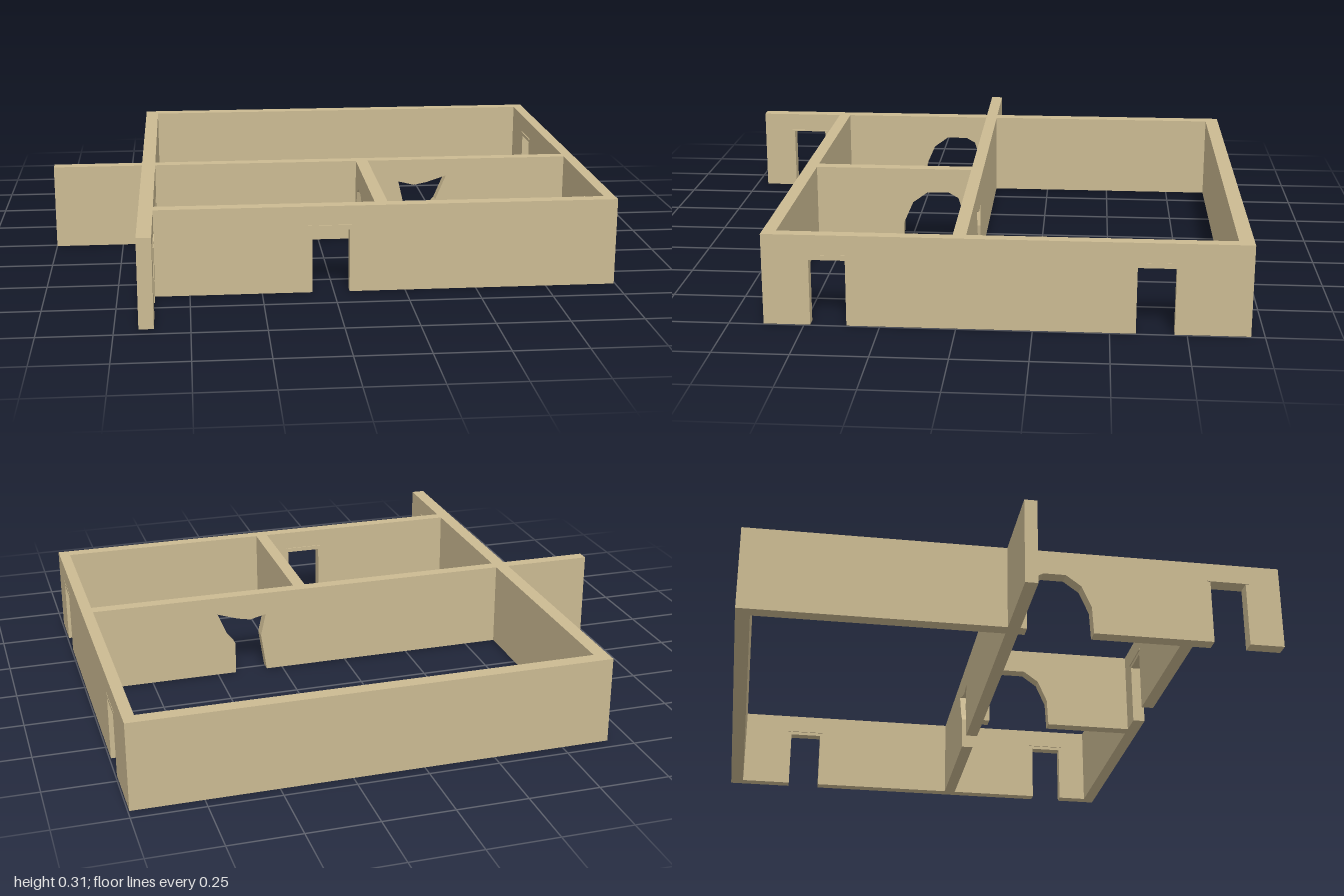
import * as THREE from 'three';

const H = 0.31;

export function createModel() {
  const house = new THREE.Group();
  house.name = 'floorPlanWalls';
  const material = new THREE.MeshStandardMaterial({ color: 0xcbba92 });

  // Openings are outlines that start and end on the floor, running from low to high
  const door = (a, b, h) => [[a, 0], [a, h], [b, h], [b, 0]];
  const arch = [[0.035, 0], [0.035, 0.12], [0.06, 0.2], [0.095, 0.22],
    [0.175, 0.22], [0.23, 0.18], [0.265, 0.1], [0.27, 0]];
  const brokenGap = [[0.31, 0], [0.33, 0.14], [0.31, 0.225], [0.37, 0.21],
    [0.42, 0.22], [0.495, 0.245], [0.455, 0.15], [0.43, 0.12], [0.43, 0]];

  // Wall running along x or z from a to b, with its thickness between lo and hi
  function wall(name, axis, a, b, lo, hi, openings = []) {
    const outline = [[a, 0], ...openings.flat(), [b, 0], [b, H], [a, H]];
    const shape = new THREE.Shape(outline.map(([u, v]) => new THREE.Vector2(u, v)));
    const geometry = new THREE.ExtrudeGeometry(shape, { depth: hi - lo, bevelEnabled: false });
    if (axis === 'x') geometry.translate(0, 0, lo);
    else geometry.rotateY(-Math.PI / 2).translate(hi, 0, 0);
    const mesh = new THREE.Mesh(geometry, material);
    mesh.name = name;
    house.add(mesh);
  }

  // Thin strip over a doorway, standing slightly proud of both wall faces
  function lintel(name, axis, a, b, lo, hi) {
    const length = b - a, depth = hi - lo + 0.008;
    const size = axis === 'x' ? [length, 0.005, depth] : [depth, 0.005, length];
    const mesh = new THREE.Mesh(new THREE.BoxGeometry(...size), material);
    const along = (a + b) / 2, across = (lo + hi) / 2;
    mesh.position.set(axis === 'x' ? along : across, 0.24, axis === 'x' ? across : along);
    mesh.name = name;
    house.add(mesh);
  }

  // Outer walls
  wall('rightWall', 'z', -0.955, 0.955, -0.67, -0.62, [arch, door(0.7, 0.83, 0.24)]);
  wall('leftWall', 'z', -0.955, 0.635, 0.955, 0.995,
    [door(-0.71, -0.585, 0.225), door(0.36, 0.48, 0.225)]);
  wall('backWall', 'x', -0.62, 0.955, -0.955, -0.905);
  wall('frontWall', 'x', -0.62, 0.955, 0.59, 0.635, [door(-0.075, 0.055, 0.225)]);

  // Inner walls and the short wing continuing the middle wall outside
  wall('middleWall', 'x', -0.62, 0.955, -0.032, 0.012, [brokenGap]);
  wall('wingWall', 'x', -1, -0.67, -0.032, 0.012);
  wall('partitionWall', 'z', 0.012, 0.59, 0.145, 0.19, [arch]);

  // Lintels
  lintel('frontLintel', 'x', -0.09, 0.065, 0.59, 0.635);
  lintel('leftBackLintel', 'z', -0.725, -0.575, 0.955, 0.992);
  lintel('leftFrontLintel', 'z', 0.345, 0.49, 0.955, 0.992);
  lintel('rightLintel', 'z', 0.69, 0.84, -0.67, -0.62);

  return house;
}
